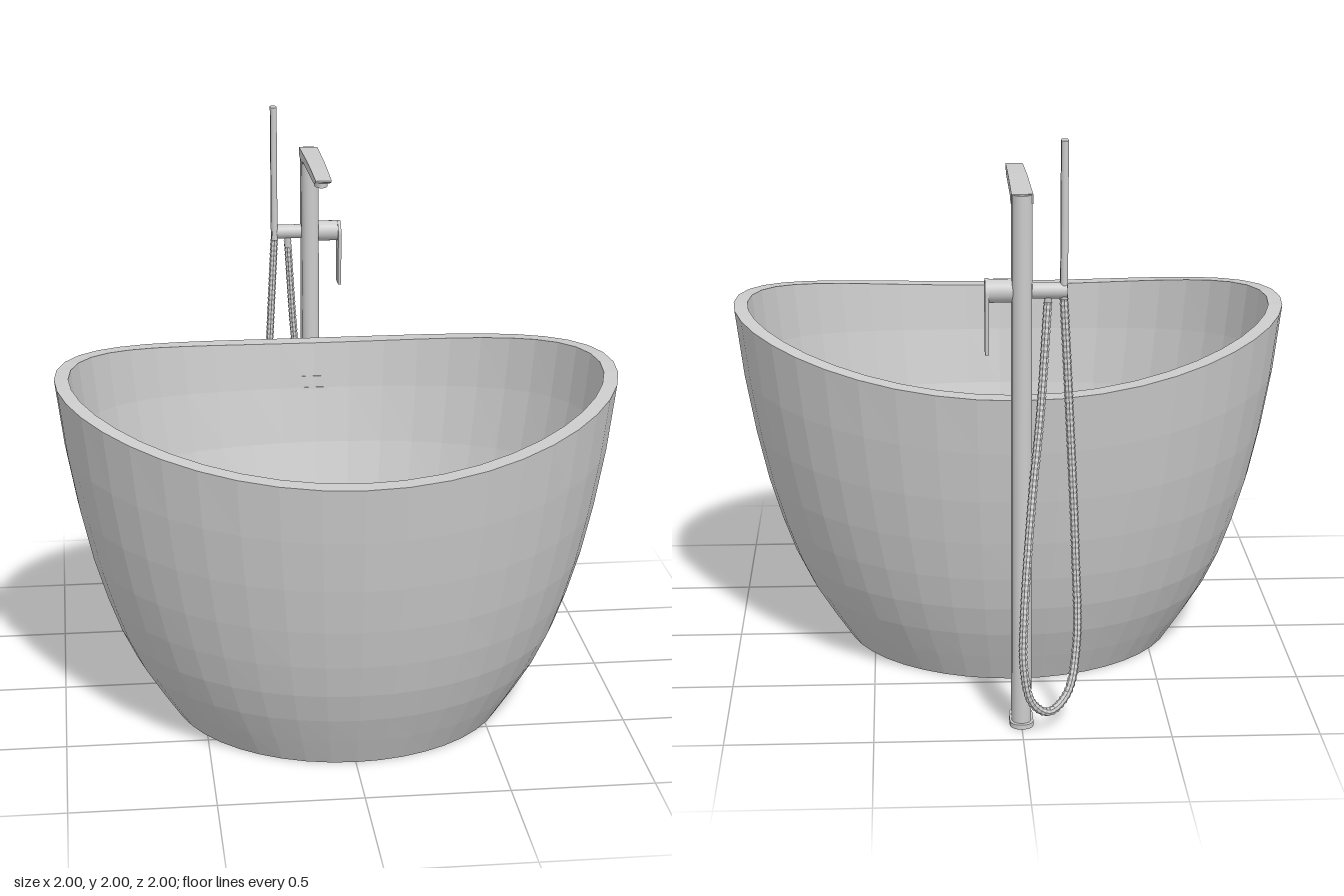
import * as THREE from 'three';

const CZ = 0.13;   // centre of the tub along z
const TAP_Z = -0.84; // centre of the floor-standing tap
const FLOOR = 0.12; // height of the tub floor inside

const smooth = new THREE.MeshStandardMaterial({ color: 0xcccccc });
const faceted = new THREE.MeshStandardMaterial({ color: 0xcccccc, flatShading: true });

function add(parent, name, geometry, material = smooth) {
  const mesh = new THREE.Mesh(geometry, material);
  mesh.name = name;
  parent.add(mesh);
  return mesh;
}

// Oval shell through rings [rx, rz, y, lift]; lift raises the ring at its x ends
function ovalShell(rings, segments) {
  const pos = [], idx = [], n = segments + 1;
  rings.forEach(([rx, rz, y, lift], i) => {
    for (let j = 0; j <= segments; j++) {
      const a = (j / segments) * Math.PI * 2, s = Math.sin(a);
      pos.push(rx * s, y + lift * s * s, CZ + rz * Math.cos(a));
      if (i < rings.length - 1 && j < segments) {
        const p = i * n + j;
        if (rx > 0) idx.push(p, p + 1, p + n);
        if (rings[i + 1][0] > 0) idx.push(p + 1, p + n + 1, p + n);
      }
    }
  });
  const g = new THREE.BufferGeometry();
  g.setAttribute('position', new THREE.Float32BufferAttribute(pos, 3));
  g.setIndex(idx);
  g.computeVertexNormals();
  return g;
}

// Upright prism with rounded front and back ends
function stadiumColumn(width, depth, y0, y1, x = 0) {
  const r = width / 2, h = depth / 2 - r;
  const shape = new THREE.Shape();
  shape.absarc(0, h, r, 0, Math.PI, false);
  shape.absarc(0, -h, r, Math.PI, Math.PI * 2, false);
  const g = new THREE.ExtrudeGeometry(shape, { depth: y1 - y0, bevelEnabled: false, curveSegments: 10 });
  return g.rotateX(-Math.PI / 2).translate(x, y0, TAP_Z);
}

// Side outline drawn in (z, y), given a thickness along x
function sidePlate(shape, thickness, x) {
  const g = new THREE.ExtrudeGeometry(shape, { depth: thickness, bevelEnabled: false, curveSegments: 10 });
  return g.rotateY(-Math.PI / 2).translate(x + thickness / 2, 0, 0);
}

function rod(radius, x0, x1, y, z) {
  return new THREE.CylinderGeometry(radius, radius, x1 - x0, 20)
    .rotateZ(Math.PI / 2).translate((x0 + x1) / 2, y, z);
}

function createTub() {
  const tub = new THREE.Group();
  tub.name = 'bathtub';
  add(tub, 'tubShell', ovalShell([
    // underside and outer wall
    [0, 0, 0, 0], [0.605, 0.6, 0, 0], [0.675, 0.646, 0.1, 0.002], [0.74, 0.69, 0.2, 0.005],
    [0.796, 0.729, 0.31, 0.011], [0.843, 0.761, 0.43, 0.02], [0.89, 0.791, 0.57, 0.034],
    [0.932, 0.82, 0.73, 0.058], [0.97, 0.846, 0.91, 0.09], [1, 0.87, 1.105, 0.137],
    // rim, inner wall and floor
    [0.95, 0.8, 1.105, 0.137], [0.926, 0.78, 0.93, 0.097], [0.885, 0.74, 0.72, 0.06],
    [0.83, 0.684, 0.52, 0.03], [0.765, 0.62, 0.35, 0.012], [0.695, 0.555, 0.22, 0.004],
    [0.63, 0.497, FLOOR, 0], [0, 0, FLOOR, 0],
  ], 44), faceted);

  // Oval pop-up drain
  const drain = new THREE.Group();
  drain.name = 'drain';
  add(drain, 'drainSeat', new THREE.CylinderGeometry(0.045, 0.045, 0.012, 20).translate(0, 0.006, 0.185));
  add(drain, 'drainCap', new THREE.CylinderGeometry(0.042, 0.06, 0.02, 12).scale(1, 1, 1.65).translate(0, 0.03, 0.12));
  add(drain, 'drainStem', new THREE.CylinderGeometry(0.02, 0.02, 0.03, 12).translate(0, 0.012, 0.12));
  drain.position.y = FLOOR;
  tub.add(drain);

  // Overflow slot frame, almost flush with the back inner wall
  const overflow = new THREE.Group();
  overflow.name = 'overflow';
  for (const s of [-1, 1]) {
    add(overflow, 'overflowBar', new THREE.BoxGeometry(0.1, 0.008, 0.012).translate(0, s * 0.022, 0));
    add(overflow, 'overflowEnd', new THREE.BoxGeometry(0.008, 0.044, 0.012).translate(s * 0.046, 0, 0));
  }
  overflow.position.set(0, 0.95, -0.653);
  overflow.rotation.x = -0.11;
  tub.add(overflow);
  return tub;
}

function createTap() {
  const tap = new THREE.Group();
  tap.name = 'floorTap';
  add(tap, 'tapBase', stadiumColumn(0.08, 0.155, 0, 0.016));
  add(tap, 'tapColumn', stadiumColumn(0.066, 0.125, 0.016, 1.83));

  // Flat spout, narrowing slightly towards its tip
  const outline = new THREE.Shape();
  outline.moveTo(-0.88, 1.8);
  outline.lineTo(-0.79, 1.785);
  outline.lineTo(-0.75, 1.803);
  outline.lineTo(-0.38, 1.803);
  outline.lineTo(-0.31, 1.822);
  outline.lineTo(-0.31, 1.828);
  outline.quadraticCurveTo(-0.5, 1.838, -0.65, 1.836);
  outline.lineTo(-0.88, 1.832);
  const spout = sidePlate(outline, 0.07, 0), sp = spout.attributes.position;
  for (let i = 0; i < sp.count; i++) {
    sp.setX(i, sp.getX(i) * THREE.MathUtils.mapLinear(sp.getZ(i), -0.88, -0.31, 1, 0.84));
  }
  spout.computeVertexNormals();
  add(tap, 'spout', spout);
  add(tap, 'aerator', new THREE.CylinderGeometry(0.025, 0.025, 0.02, 18).scale(1, 1, 2).translate(0, 1.798, -0.415));

  // Mixer valve with lever, and the holder arm opposite
  add(tap, 'valveBody', rod(0.039, 0, 0.115, 1.508, TAP_Z - 0.005));
  add(tap, 'holderArm', rod(0.027, -0.148, 0, 1.508, TAP_Z - 0.005));
  const lever = new THREE.Shape();
  lever.moveTo(-0.88, 1.3);
  lever.lineTo(-0.803, 1.3);
  lever.lineTo(-0.795, 1.5);
  lever.absarc(-0.84, 1.503, 0.045, 0, Math.PI, false);
  add(tap, 'lever', sidePlate(lever, 0.012, 0.114));

  // Slim rounded hand shower in its holder
  add(tap, 'handShower', stadiumColumn(0.024, 0.05, 1.48, 2, -0.138));
  add(tap, 'hoseFitting', new THREE.CylinderGeometry(0.014, 0.012, 0.05, 14).translate(-0.085, 1.47, TAP_Z - 0.005));

  // Ribbed hose hanging in a loop behind the column
  const path = new THREE.CatmullRomCurve3([
    [-0.138, 1.48, -0.84], [-0.16, 1.08, -0.825], [-0.183, 0.6, -0.818], [-0.188, 0.27, -0.83],
    [-0.155, 0.115, -0.878], [-0.09, 0.07, -0.932], [-0.03, 0.12, -0.968], [-0.002, 0.25, -0.982],
    [-0.003, 0.42, -0.975], [-0.03, 0.8, -0.922], [-0.06, 1.1, -0.882], [-0.085, 1.47, -0.85],
  ].map((p) => new THREE.Vector3(...p)));
  const steps = 300, sides = 8;
  const hose = new THREE.TubeGeometry(path, steps, 0.0155, sides, false);
  const pos = hose.attributes.position, v = new THREE.Vector3();
  for (let i = 1; i <= steps; i += 2) {
    const c = path.getPointAt(i / steps);
    for (let j = 0; j <= sides; j++) {
      const k = i * (sides + 1) + j;
      v.fromBufferAttribute(pos, k).sub(c).multiplyScalar(0.82).add(c);
      pos.setXYZ(k, v.x, v.y, v.z);
    }
  }
  add(tap, 'hose', hose, faceted);
  return tap;
}

export function createModel() {
  const model = new THREE.Group();
  model.name = 'bathtubWithTap';
  model.add(createTub(), createTap());
  return model;
}
